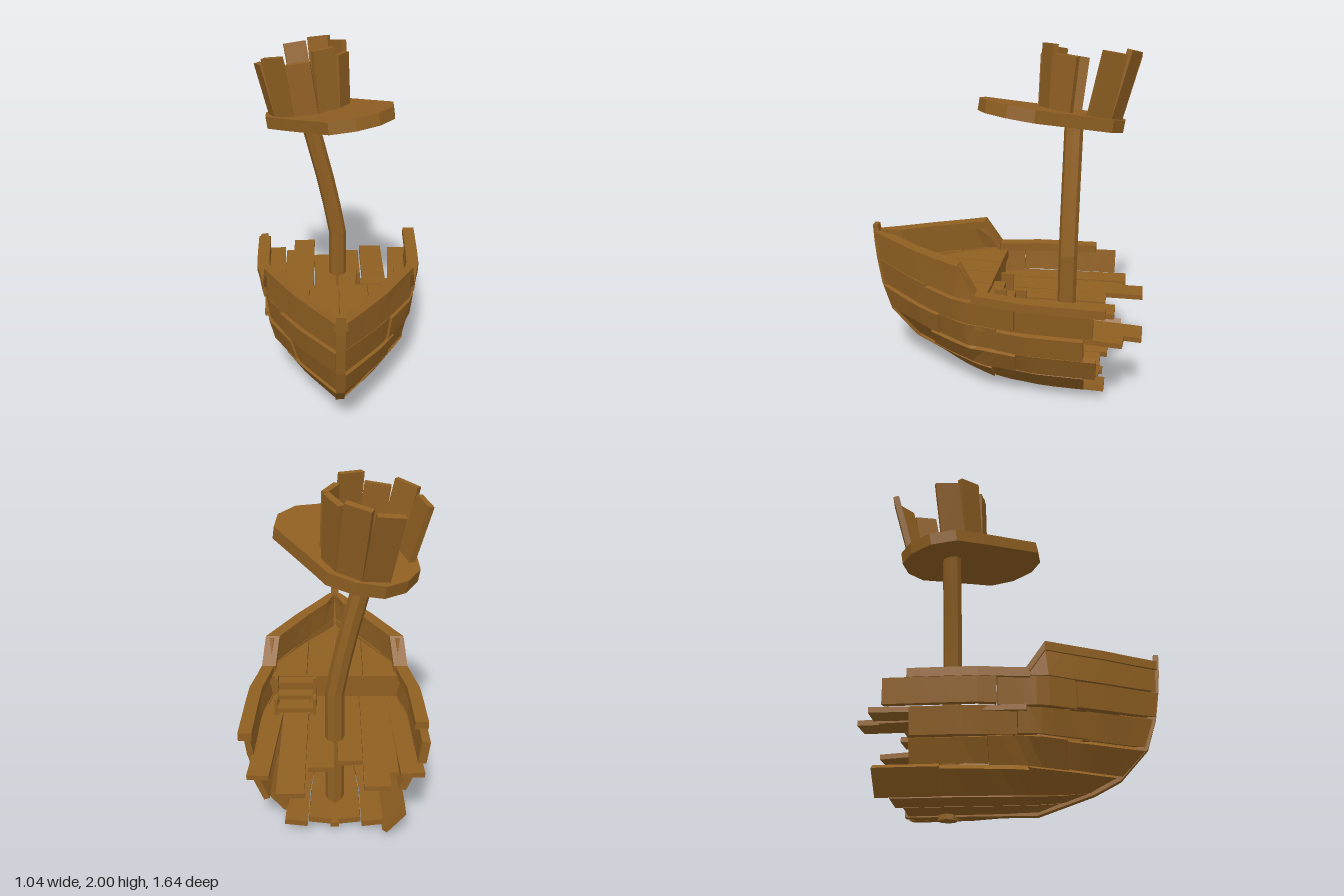
import * as THREE from 'three';

const wood = new THREE.MeshStandardMaterial({ color: 0x8f5f22, flatShading: true });
wood.name = 'weathered wood';

// Hull levels from keel to bulwark top: stem z, height at bow, height aft, half width
const LEVELS = [
  [0.12, 0.025, 0.025, 0.02],
  [0.42, 0.13, 0.06, 0.29],
  [0.56, 0.205, 0.195, 0.4],
  [0.71, 0.365, 0.335, 0.455],
  [0.765, 0.53, 0.485, 0.485],
  [0.79, 0.69, 0.645, 0.505],
  [0.8, 0.865, 0.835, 0.49],
];
const PLAN = [[0, 0.04], [0.2, 0.46], [0.42, 0.84], [0.5, 0.865], [0.67, 0.97], [1, 1], [2, 1]];
const lerp = THREE.MathUtils.lerp;

// Point on the +x hull surface at a level and z (clamped to the stem)
function hullPoint(level, z) {
  const [stem, bow, aft, width] = LEVELS[level];
  const t = Math.max(0, (stem - z) / (stem + 0.62));
  const i = Math.max(1, PLAN.findIndex(p => p[0] >= t));
  const [a, b] = [PLAN[i - 1], PLAN[i]];
  const w = lerp(a[1], b[1], (t - a[0]) / (b[0] - a[0]));
  return new THREE.Vector3(level ? w * width : width, lerp(aft, bow, Math.max(0, 1 - t) ** 4), Math.min(z, stem));
}

// Skin four-cornered sections running from bow to stern; side -1 mirrors
function loft(sections, side) {
  const pos = [], index = [];
  const tri = (a, b, c) => (side > 0 ? index.push(a, b, c) : index.push(a, c, b));
  sections.forEach(s => s.forEach(p => pos.push(p.x * side, p.y, p.z)));
  const last = (sections.length - 1) * 4;
  for (let i = 0; i < last; i += 4) {
    for (let k = 0; k < 4; k++) {
      const a = i + k, b = i + (k + 1) % 4;
      tri(a, a + 4, b + 4);
      tri(a, b + 4, b);
    }
  }
  tri(0, 1, 2); tri(0, 2, 3);
  tri(last, last + 2, last + 1); tri(last, last + 3, last + 2);
  const g = new THREE.BufferGeometry();
  g.setAttribute('position', new THREE.Float32BufferAttribute(pos, 3));
  g.setIndex(index);
  const flat = g.toNonIndexed();
  flat.computeVertexNormals();
  return flat;
}

// Hull plank between fractions v0..v1 of a strake; zTop is the aft end of its upper edge
function plankGeometry(row, z0, z1, side, { v0 = 0.03, v1 = 0.95, out = 0, zTop = z1 } = {}) {
  const at = (v, s) => {
    const p = [row, row + 1].map((l, k) => hullPoint(l, lerp(Math.min(z0, LEVELS[l][0]), k ? zTop : z1, s)));
    return p[0].lerp(p[1], v);
  };
  const sections = [], N = 6;
  for (let i = 0; i <= N; i++) {
    const s = i / N, lo = at(v0, s), hi = at(v1, s);
    const along = at(0.5, Math.min(1, s + 0.1)).sub(at(0.5, Math.max(0, s - 0.1)));
    const inward = hi.clone().sub(lo).cross(along).normalize();
    const shift = (p, d) => {
      const q = p.clone().addScaledVector(inward, d);
      q.x = Math.max(0, q.x);
      return q;
    };
    sections.push([shift(lo, -out), shift(hi, -out), shift(hi, 0.035), shift(lo, 0.035)]);
  }
  return loft(sections, side);
}

// Rail with a rectangular section following the given hull points
function railGeometry(points, side, width) {
  return loft(points.map(p => {
    const x0 = Math.max(0, p.x - width), x1 = p.x + 0.015;
    return [[x1, -0.015], [x1, 0.035], [x0, 0.035], [x0, -0.015]]
      .map(([x, dy]) => new THREE.Vector3(x, p.y + dy, p.z));
  }), side);
}

export function createModel() {
  const model = new THREE.Group();
  model.name = 'wreckedShip';
  const add = (name, geometry, parent = model) => {
    const m = new THREE.Mesh(geometry, wood);
    m.name = name;
    parent.add(m);
    return m;
  };
  const box = (name, w, h, d, x, y, z, parent = model) => {
    const m = add(name, new THREE.BoxGeometry(w, h, d), parent);
    m.position.set(x, y, z);
    return m;
  };

  // Hull strakes: plank joints from bow to broken stern, +x side then -x side
  const strakes = {
    1: [[1, 0.02, -0.51], [1, 0.1, -0.35, -0.7]],
    2: [[1, 0.41, -0.13, -0.58], [1, 0.3, -0.1, -0.5]],
    3: [[1, 0.34, -0.02, -0.51], [1, 0.4, 0.05, -0.5]],
    4: [[1, 0.42, -0.13, -0.56], [1, 0.35, -0.05, -0.64]],
  };
  for (const row in strakes) {
    strakes[row].forEach((joints, k) => {
      for (let i = 0; i + 1 < joints.length; i++) {
        const wob = (+row + i + k) % 2;
        add('hullPlank', plankGeometry(+row, joints[i], joints[i + 1] + 0.004, k ? -1 : 1,
          { out: wob * 0.012, v0: 0.02 + wob * 0.04, v1: 0.97 - wob * 0.05 }));
      }
    });
  }
  for (const side of [1, -1]) {
    // Bottom planking
    [[0, 0.48, -0.58], [0.5, 0.98, -0.62]].forEach(([v0, v1, end]) =>
      add('bottomPlank', plankGeometry(0, 1, end, side, { v0, v1 })));
    // Raised bulwark at the bow and its cap
    add('bulwark', plankGeometry(5, 1, 0.1, side, { zTop: 0.2, v0: 0, v1: 0.95 }));
    const cap = [1, 0.66, 0.5, 0.34, 0.2].map(z => hullPoint(6, z));
    cap.forEach(p => { p.y -= 0.033; });
    add('bulwarkCap', railGeometry([...cap, hullPoint(5, 0.1)], side, 0.07));
    // Side rail
    const end = side > 0 ? -0.62 : -0.51;
    add('sideRail', railGeometry([0.12, 0, -0.14, -0.3, end].map(z => hullPoint(5, z)), side, 0.06));
  }

  // Stem post running into the keel
  const outer = [[0.815, 0.91], [0.81, 0.8], [0.8, 0.69], [0.775, 0.53], [0.72, 0.36], [0.565, 0.19], [0.42, 0.115], [0.12, 0.012], [-0.6, 0.02]];
  const inner = [[-0.6, 0.05], [0.11, 0.05], [0.4, 0.155], [0.53, 0.225], [0.67, 0.38], [0.73, 0.54], [0.755, 0.69], [0.77, 0.8], [0.785, 0.91]];
  const stem = new THREE.ExtrudeGeometry(
    new THREE.Shape([...outer, ...inner].map(p => new THREE.Vector2(...p))), { depth: 0.05, bevelEnabled: false });
  stem.rotateY(-Math.PI / 2).translate(0.025, 0, 0);
  add('stemAndKeel', stem);

  // Broken main deck planks: x, width, aft end, yaw, droop
  [
    [-0.4, 0.13, -0.71, 0.05, 0], [-0.315, 0.06, -0.69, 0, 0.01], [-0.225, 0.14, -0.82, 0, 0.0],
    [-0.08, 0.135, -0.6, 0.02, 0], [0.075, 0.14, -0.66, 0, 0], [0.235, 0.15, -0.82, 0, 0.05],
    [0.385, 0.12, -0.72, -0.07, 0.01],
  ].forEach(([x, w, end, yaw, droop]) => {
    const len = 0.1 - end;
    const m = box('deckPlank', w, 0.03, len, x, 0.47 - droop / 2, (0.1 + end) / 2);
    m.rotation.set(-droop / len, yaw, 0);
  });

  // Foredeck planks cut to the hull outline
  const limit = x => (x < 0.2 ? lerp(0.755, 0.52, x / 0.2) : lerp(0.52, 0.2, (x - 0.2) / 0.2));
  for (const side of [1, -1]) {
    for (const [x0, x1] of [[0.003, 0.169], [0.175, 0.4]]) {
      const s = new THREE.Shape([[x0, 0.055], [x1, 0.055], [x1, limit(x1)], [x0, limit(x0)]]
        .map(([x, z]) => new THREE.Vector2(x * side, -z)));
      const g = new THREE.ExtrudeGeometry(s, { depth: 0.03, bevelEnabled: false });
      add('foredeckPlank', g.rotateX(-Math.PI / 2).translate(0, 0.61, 0));
    }
  }
  box('foredeckBeam', 0.82, 0.05, 0.03, 0, 0.6, 0.07);
  box('bulkhead', 0.82, 0.13, 0.02, 0, 0.52, 0.08);

  // Steps up to the foredeck, between side boards
  for (let i = 0; i < 3; i++) box('step', 0.21, 0.03, 0.065, 0.235, 0.515 + i * 0.055, -0.11 + i * 0.06);
  for (const x of [0.12, 0.35]) {
    box('stepSide', 0.02, 0.11, 0.07, x, 0.535, -0.11);
    box('stepPost', 0.02, 0.21, 0.07, x, 0.585, -0.03);
  }

  // Bent mast: straight below, leaning to one side above
  const mast = new THREE.CylinderGeometry(0.055, 0.055, 1.57, 8, 8).translate(0, 0.785, -0.37);
  const mp = mast.attributes.position;
  for (let i = 0; i < mp.count; i++) {
    const y = mp.getY(i);
    const lean = y < 0.8 ? 0 : y < 1.1 ? (y - 0.8) * 0.2 : 0.06 + (y - 1.1) * 0.25;
    mp.setX(i, mp.getX(i) - lean);
  }
  mast.computeVertexNormals();
  add('mast', mast);

  // Tilted lookout: local x runs along the long axis of its floor
  const nest = new THREE.Group();
  nest.name = 'lookout';
  nest.position.set(-0.16, 1.565, -0.4);
  nest.rotation.order = 'YXZ';
  nest.rotation.set(0, -Math.PI / 4, 0.2);
  model.add(nest);
  const outline = [
    [-0.05, 0.14], [0.1, 0.145], [0.23, 0.08], [0.32, -0.05], [0.33, -0.2], [0.11, -0.5],
    [0.04, -0.6], [-0.1, -0.66], [-0.25, -0.66], [-0.36, -0.58], [-0.43, -0.45], [-0.42, -0.3], [-0.3, -0.15],
  ].map(([x, z]) => new THREE.Vector2(x + 0.16, -z - 0.4).rotateAround(new THREE.Vector2(), Math.PI / 4));
  const floor = new THREE.ExtrudeGeometry(new THREE.Shape(outline), { depth: 0.07, bevelEnabled: false });
  add('lookoutFloor', floor.rotateX(-Math.PI / 2).translate(0, -0.035, 0), nest);

  // Staves: compass angle and top height
  [[-70, 1.89], [-37, 1.95], [-3, 1.93], [31, 2.0], [64, 1.95], [190, 1.93], [156, 1.97], [122, 1.97]].forEach(([deg, top]) => {
    const a = THREE.MathUtils.degToRad(deg);
    const h = top - 1.585 - 0.05 * Math.cos(a - Math.PI / 4);
    const pivot = new THREE.Group();
    pivot.name = 'stave';
    pivot.rotation.y = a + Math.PI / 4;
    nest.add(pivot);
    const m = box('staveBoard', 0.138, h, 0.035, 0, 0.02 + h / 2, 0.238, pivot);
    m.rotation.x = 0.12;
  });
  return model;
}
